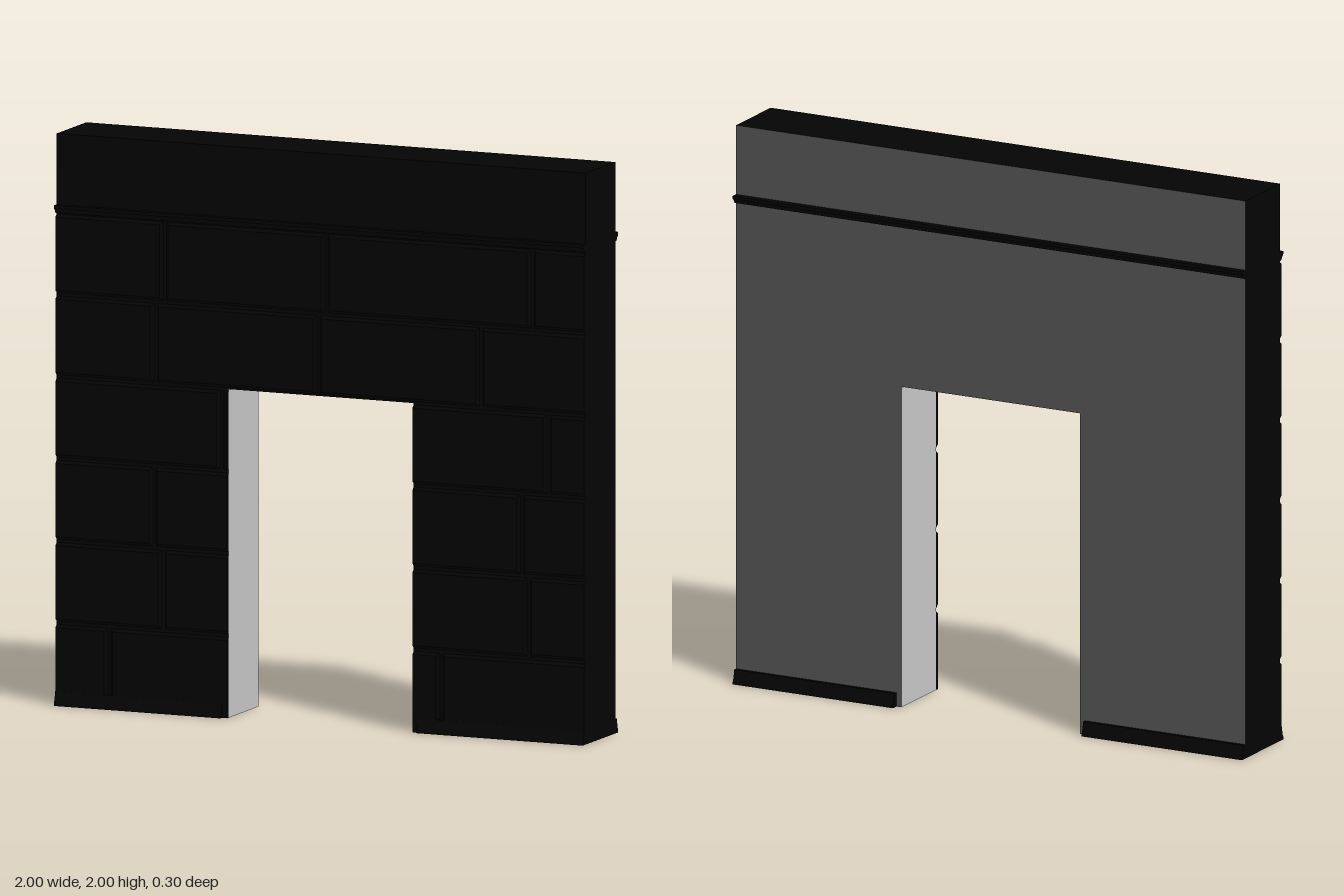
import * as THREE from 'three';

const HALF = 1, TOP = 2, DOOR = 0.35, DOOR_TOP = 1.15, FACE = 0.125;

const dark = new THREE.MeshStandardMaterial({ color: 0x040404, side: THREE.DoubleSide });
const grey = new THREE.MeshStandardMaterial({ color: 0xcccccc, side: THREE.DoubleSide });
const shaded = new THREE.MeshStandardMaterial({ color: 0x585858, side: THREE.DoubleSide });

function add(parent, name, geometry, material) {
  const mesh = new THREE.Mesh(geometry, material);
  mesh.name = name;
  parent.add(mesh);
  return mesh;
}

// Flat panel, turned and then placed
function panel(parent, name, w, h, [rx, ry], [x, y, z], material) {
  const mesh = add(parent, name, new THREE.PlaneGeometry(w, h), material);
  mesh.rotation.set(rx, ry, 0);
  mesh.position.set(x, y, z);
}

// Stone block with bevelled front edges; sides on the wall's outline stay flush
function block(x0, x1, y0, y1) {
  const gap = 0.006, bevel = 0.01, depth = 0.012;
  const flush = (x) => Math.abs(x) === HALF || (Math.abs(x) === DOOR && y0 < DOOR_TOP - 0.01);
  const inset = [flush(x0) ? 0 : 1, flush(x1) ? 0 : 1, y0 === 0 ? 0 : 1, 1];
  const geometry = new THREE.BoxGeometry(1, 1, depth);
  const p = geometry.attributes.position;
  for (let i = 0; i < p.count; i++) {
    const d = p.getZ(i) > 0 ? gap + bevel : gap;
    p.setXYZ(i,
      p.getX(i) < 0 ? x0 + inset[0] * d : x1 - inset[1] * d,
      p.getY(i) < 0 ? y0 + inset[2] * d : y1 - inset[3] * d,
      p.getZ(i) + FACE + depth / 2);
  }
  geometry.computeVertexNormals();
  return geometry;
}

// Moulding: a (z, y) profile run along x
function moulding(profile, x0, x1) {
  const shape = new THREE.Shape(profile.map(([z, y]) => new THREE.Vector2(z, y)));
  const geometry = new THREE.ExtrudeGeometry(shape, { depth: x1 - x0, bevelEnabled: false });
  return geometry.rotateY(-Math.PI / 2).translate(x1, 0, 0);
}

export function createModel() {
  const model = new THREE.Group();
  model.name = 'doorwayWall';

  // Wall shell around the doorway
  const wall = new THREE.Group();
  wall.name = 'wall';
  model.add(wall);
  const outline = new THREE.Shape([
    [-HALF, 0], [-DOOR, 0], [-DOOR, DOOR_TOP], [DOOR, DOOR_TOP],
    [DOOR, 0], [HALF, 0], [HALF, TOP], [-HALF, TOP],
  ].map(([x, y]) => new THREE.Vector2(x, y)));
  const face = new THREE.ShapeGeometry(outline);
  add(wall, 'frontFace', face.clone().translate(0, 0, FACE), dark);
  add(wall, 'backFace', face.clone().rotateY(Math.PI).translate(0, 0, -FACE), shaded);
  const q = Math.PI / 2, thick = FACE * 2;
  panel(wall, 'wallTop', HALF * 2, thick, [-q, 0], [0, TOP, 0], dark);
  panel(wall, 'doorSoffit', DOOR * 2, thick, [q, 0], [0, DOOR_TOP, 0], grey);
  for (const s of [-1, 1]) {
    panel(wall, 'wallEnd', thick, TOP, [0, s * q], [s * HALF, TOP / 2, 0], dark);
    panel(wall, 'doorJamb', thick, DOOR_TOP, [0, -s * q], [s * DOOR, DOOR_TOP / 2, 0], grey);
    panel(wall, 'pierFoot', HALF - DOOR, thick, [q, 0], [s * (HALF + DOOR) / 2, 0, 0], dark);
  }

  // Courses of stone on the front, listed by their block boundaries
  const stones = new THREE.Group();
  stones.name = 'stoneBlocks';
  model.add(stones);
  const courses = [
    [[-1, -0.8, -DOOR], [DOOR, 0.455, 1]],
    [[-1, -0.595, -DOOR], [DOOR, 0.785, 1]],
    [[-1, -0.63, -DOOR], [DOOR, 0.76, 1]],
    [[-1, -0.375, -DOOR], [DOOR, 0.86, 1]],
    [[-1, -0.625, -0.01, 0.605, 1]],
    [[-1, -0.59, 0.02, 0.8, 1]],
  ];
  const rise = 0.2875;
  courses.forEach((runs, row) => runs.forEach((xs) => {
    for (let i = 0; i + 1 < xs.length; i++) {
      add(stones, 'stoneBlock', block(xs[i], xs[i + 1], row * rise, (row + 1) * rise), dark);
    }
  }));

  // Cornice strip and flared plinths on both faces
  const cornice = [[0.12, 1.72], [0.136, 1.724], [0.142, 1.735], [0.15, 1.742], [0.15, 1.752], [0.12, 1.752]];
  const plinth = [[0.12, 0], [0.15, 0], [0.15, 0.008], [0.144, 0.02], [0.138, 0.05], [0.12, 0.05]];
  for (const [side, turn] of [['front', 0], ['back', Math.PI]]) {
    const trim = new THREE.Group();
    trim.name = side + 'Trim';
    trim.rotation.y = turn;
    add(trim, 'cornice', moulding(cornice, -HALF, HALF), dark);
    add(trim, 'plinth', moulding(plinth, -HALF, -0.37), dark);
    add(trim, 'plinth', moulding(plinth, 0.37, HALF), dark);
    model.add(trim);
  }
  return model;
}
